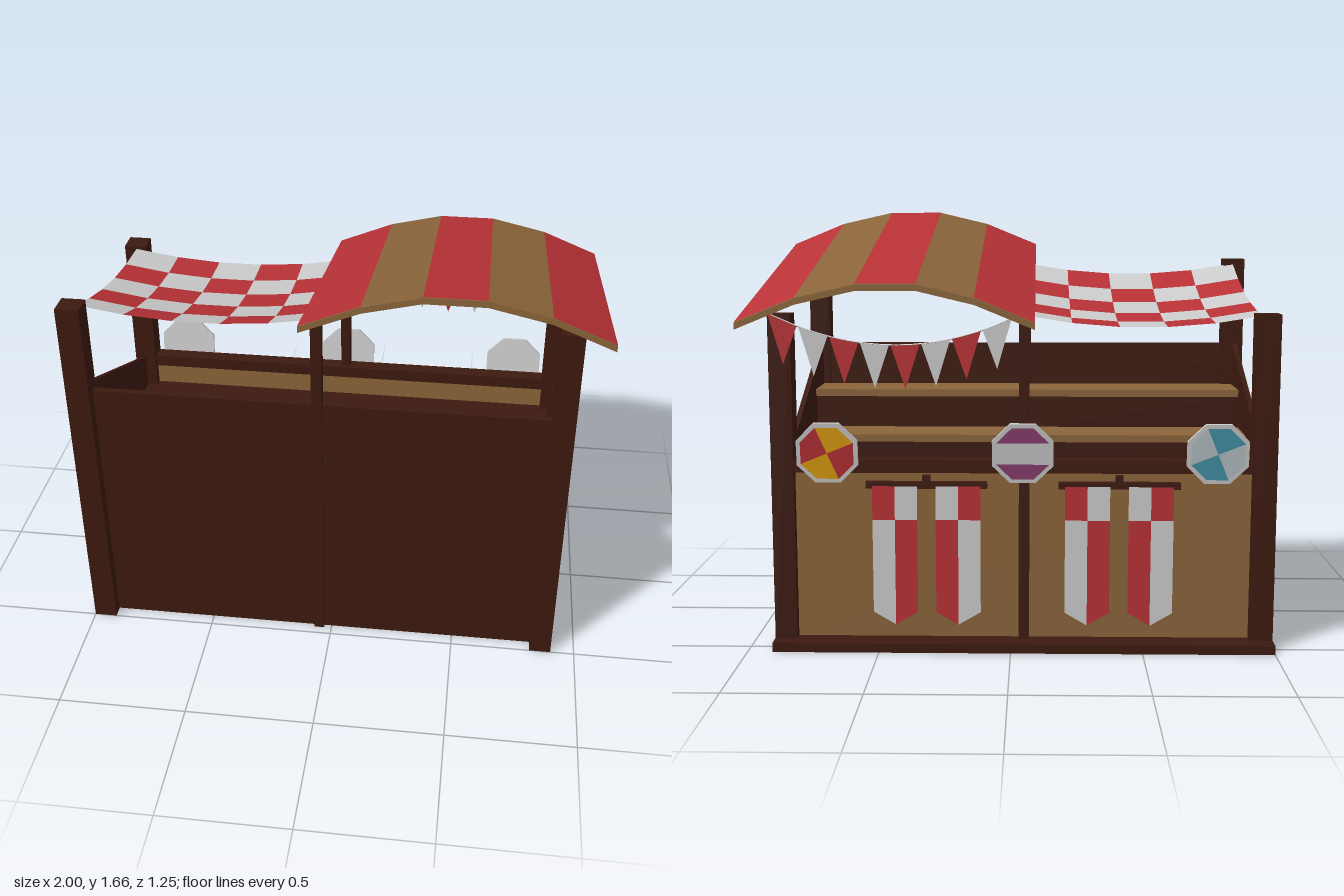
import * as THREE from 'three';

const mat = (color, side = THREE.FrontSide) =>
  new THREE.MeshStandardMaterial({ color, side, flatShading: true, roughness: 0.9 });
const DARK = mat(0x3d1a10), TAN = mat(0x8b653a), RED = mat(0xb83236), GREY = mat(0xcccccc);
const RED2 = mat(0xb83236, THREE.DoubleSide), WHITE2 = mat(0xcccccc, THREE.DoubleSide);
const TAN2 = mat(0x8b653a, THREE.DoubleSide);

export function createModel() {
  const root = new THREE.Group();

  const add = (name, geometry, material, parent = root) => {
    const mesh = new THREE.Mesh(geometry, material);
    mesh.name = name;
    parent.add(mesh);
    return mesh;
  };
  // Box given by its limits on each axis
  const box = (name, x0, x1, y0, y1, z0, z1, material = DARK, parent = root) => {
    const m = add(name, new THREE.BoxGeometry(x1 - x0, y1 - y0, z1 - z0), material, parent);
    m.position.set((x0 + x1) / 2, (y0 + y1) / 2, (z0 + z1) / 2);
    return m;
  };
  const polygon = pts => new THREE.Shape(pts.map(p => new THREE.Vector2(p[0], p[1])));
  // Grid surface from a rule (u, v) -> [x, y, z]
  const patch = (f, u0, u1, v0, v1, nu, nv) => {
    const g = new THREE.PlaneGeometry(1, 1, nu, nv), p = g.attributes.position;
    for (let i = 0; i < p.count; i++) {
      const u = u0 + (p.getX(i) + 0.5) * (u1 - u0);
      const v = v0 + (0.5 - p.getY(i)) * (v1 - v0);
      p.setXYZ(i, ...f(u, v));
    }
    g.computeVertexNormals();
    return g;
  };

  // Posts: tall at the front, lower at the back
  for (const [x0, x1, top] of [[-1, -0.91, 1.46], [0.82, 0.905, 1.48]]) {
    box('frontPost', x0, x1, 0, top, 0.41, 0.5);
    box('backPost', x0, x1, 0, 1.28, -0.5, -0.41);
  }
  box('frontMiddlePost', -0.07, -0.03, 0, 1.46, 0.42, 0.465);
  box('backMiddlePost', -0.07, -0.03, 0, 1.28, -0.49, -0.445);

  // Walls, with sloping tops at the sides
  box('frontWall', -0.95, 0.86, 0, 1.09, 0.425, 0.45);
  for (const x of [-0.975, 0.85]) {
    const g = new THREE.ExtrudeGeometry(
      polygon([[-0.44, 0], [0.44, 0], [0.44, 0.715], [0.41, 0.73], [-0.41, 1.09], [-0.44, 1.09]]),
      { depth: 0.02, bevelEnabled: false });
    g.rotateY(Math.PI / 2);
    add('sideWall', g, DARK).position.x = x;
  }
  box('backPanel', -0.92, 0.83, 0.03, 0.68, -0.465, -0.44, TAN);
  box('basePlank', -1, 0.905, 0, 0.035, -0.565, -0.41);
  box('backRail', -0.92, 0.83, 0.68, 0.73, -0.49, -0.43);

  // Stepped display inside
  box('displayBase', -0.955, 0.85, 0.57, 0.59, -0.44, 0.425);
  for (const [y, z0, z1] of [[0.62, -0.3, -0.02], [0.75, -0.02, 0.2], [0.91, 0.2, 0.425]]) {
    box('displayShelf', -0.955, 0.85, y - 0.03, y, z0, z1, TAN);
    box('displayRiser', -0.955, 0.85, 0.59, y - 0.03, z0 + 0.02, z0 + 0.04);
  }

  // Arched roof sloping down to the back
  const roof = new THREE.Group();
  roof.name = 'roof';
  root.add(roof);
  const arcX = [-0.09, 0.13, 0.34, 0.56, 0.78, 1], arcY = [1.387, 1.477, 1.527, 1.527, 1.477, 1.387];
  const slope = 0.211, halfZ = 0.623;
  const outline = arcX.map((x, i) => [x, arcY[i] - 0.024]);
  outline.push(...arcX.map((x, i) => [x, arcY[i]]).reverse());
  const slab = new THREE.ExtrudeGeometry(polygon(outline), { depth: 2 * halfZ, bevelEnabled: false });
  slab.translate(0, 0, -halfZ);
  const sp = slab.attributes.position;
  for (let i = 0; i < sp.count; i++) sp.setY(i, sp.getY(i) + slope * sp.getZ(i));
  slab.computeVertexNormals();
  add('roofBoard', slab, TAN, roof);
  for (let i = 0; i < 5; i++) {
    const strip = patch((u, z) => [
      THREE.MathUtils.lerp(arcX[i], arcX[i + 1], u),
      THREE.MathUtils.lerp(arcY[i], arcY[i + 1], u) + 0.003 + slope * z, z,
    ], 0, 1, -halfZ, halfZ, 1, 1);
    add('roofStripe', strip, i % 2 ? TAN2 : RED2, roof);
  }

  // Sagging checked canopy
  const canopy = new THREE.Group();
  canopy.name = 'canopy';
  root.add(canopy);
  const cloth = (u, v) => [
    -0.95 + 0.9 * u,
    1.27 + 0.17 * v - 0.045 * 4 * u * (1 - u) - 0.04 * 4 * v * (1 - v),
    -0.41 + 0.83 * v,
  ];
  for (let i = 0; i < 5; i++) for (let j = 0; j < 5; j++) {
    add('canopyCheck', patch(cloth, i / 5, (i + 1) / 5, j / 5, (j + 1) / 5, 1, 1),
      (i + j) % 2 ? RED2 : WHITE2, canopy);
  }

  // Bunting between the back posts
  const bunting = new THREE.Group();
  bunting.name = 'bunting';
  root.add(bunting);
  const sagY = x => 1.165 + 0.53 * (x - 0.43) ** 2;
  const string = new THREE.CatmullRomCurve3(
    [-0.04, 0.1, 0.27, 0.43, 0.6, 0.76, 0.89].map(x => new THREE.Vector3(x, sagY(x), -0.503)));
  add('buntingString', new THREE.TubeGeometry(string, 16, 0.003, 4), GREY, bunting);
  for (let i = 0; i < 8; i++) {
    const x = 0.05 + i * 0.114, w = 0.054;
    const flag = polygon([[x - w, sagY(x - w)], [x, sagY(x) - 0.165], [x + w, sagY(x + w)]]);
    add('buntingFlag', new THREE.ShapeGeometry(flag), i % 2 ? RED2 : WHITE2, bunting)
      .position.z = -0.505;
  }

  // Hanging banners, two on each rod
  for (const cx of [0.32, -0.41]) {
    const hanging = new THREE.Group();
    hanging.name = 'bannerRod';
    hanging.position.set(cx, 0, -0.48);
    root.add(hanging);
    box('rod', -0.23, 0.23, 0.62, 0.645, -0.012, 0.015, DARK, hanging);
    box('rodHook', -0.015, 0.015, 0.64, 0.67, -0.012, 0.02, DARK, hanging);
    for (const s of [-1, 1]) {
      for (const c of [-1, 1]) {
        const x = s * 0.12, e = x + c * 0.085;
        const block = polygon([[x, 0.5], [e, 0.5], [e, 0.63], [x, 0.63]]);
        const tail = polygon([[x, 0.09], [e, 0.14], [e, 0.5], [x, 0.5]]);
        const red = s * c > 0;
        for (const [shape, isRed] of [[block, red], [tail, !red]]) {
          add('banner', new THREE.ShapeGeometry(shape), isRed ? RED2 : WHITE2, hanging)
            .position.z = -0.016;
        }
      }
    }
  }

  // Octagonal shields leaning out from the rail
  const corner = (i, r) => {
    const a = (i + 0.5) * Math.PI / 4;
    return [r * Math.cos(a), r * Math.sin(a)];
  };
  const quarters = [0, 2, 4, 6].map(i => [i, i + 1, i + 2, -1]);
  const bands = [[0, 1, 2, 3], [3, 4, 7, 0], [4, 5, 6, 7]];
  const shields = [
    [0.69, quarters, 0xe0a010, 0xb83236],
    [-0.045, bands, 0x8a4070, 0xcccccc],
    [-0.775, quarters, 0x4596ad, 0xb8c4c8],
  ];
  for (const [x, pieces, c1, c2] of shields) {
    const shield = new THREE.Group();
    shield.name = 'shield';
    shield.position.set(x, 0.76, -0.508);
    shield.rotation.set(-0.13, Math.PI, 0);
    root.add(shield);
    const disc = new THREE.CylinderGeometry(0.125, 0.125, 0.014, 8);
    disc.rotateY(Math.PI / 8);
    disc.rotateX(Math.PI / 2);
    add('shieldRim', disc, GREY, shield);
    pieces.forEach((ids, k) => {
      const shape = polygon(ids.map(i => (i < 0 ? [0, 0] : corner(i, 0.108))));
      add('shieldField', new THREE.ShapeGeometry(shape), mat(k % 2 ? c2 : c1), shield)
        .position.z = 0.01;
    });
  }

  return root;
}
